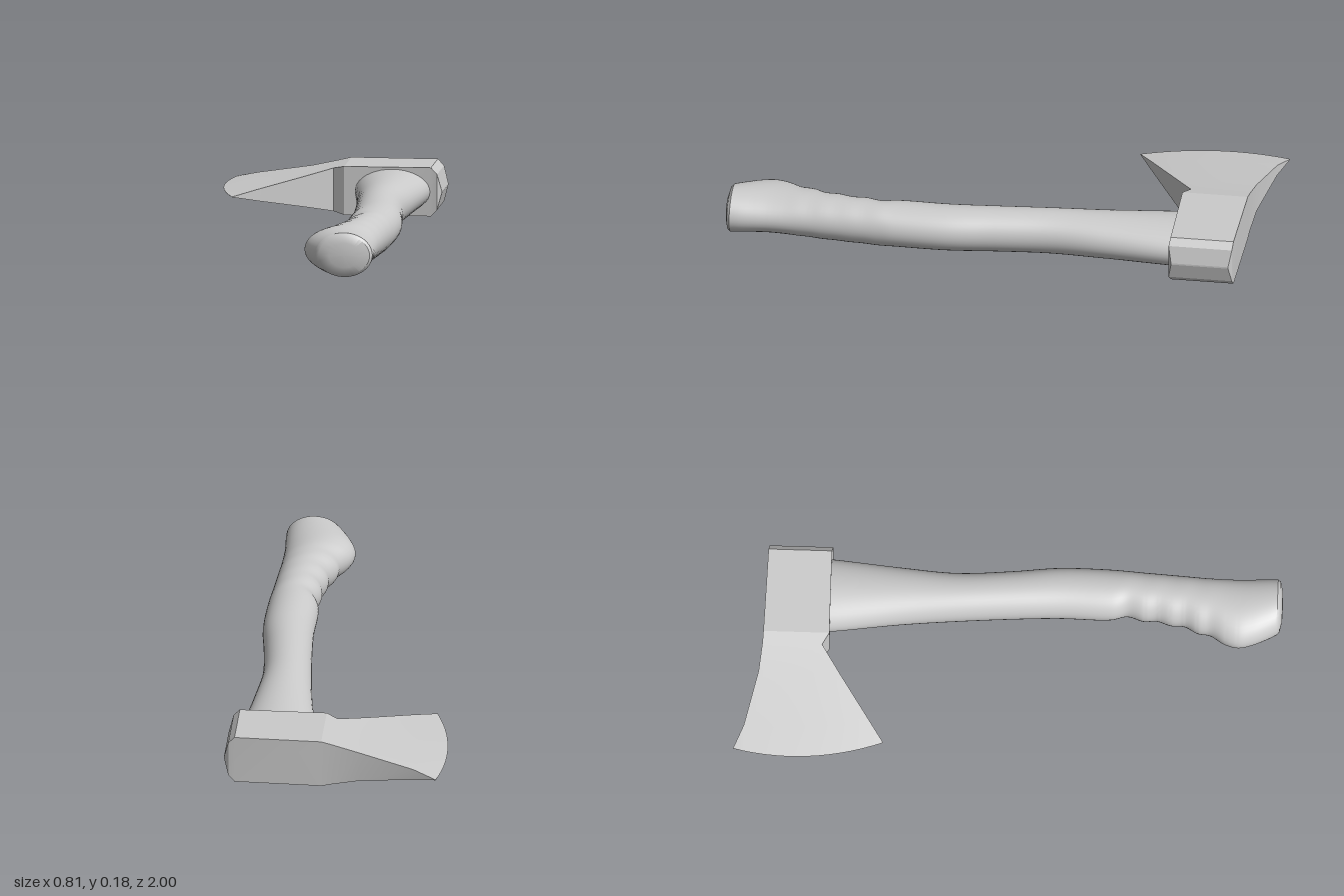
import * as THREE from 'three';
import { toCreasedNormals } from 'three/addons/utils/BufferGeometryUtils.js';

const MID = 0.09; // height of the symmetry plane

// Skin a list of equal-length closed rings and cap both ends.
function loft(rings, crease) {
  const n = rings[0].length;
  const index = [];
  for (let i = 0; i < rings.length - 1; i++) {
    for (let j = 0; j < n; j++) {
      const a = i * n + j, b = i * n + (j + 1) % n;
      index.push(a, b, a + n, b, b + n, a + n);
    }
  }
  const last = (rings.length - 1) * n;
  for (let j = 1; j < n - 1; j++) {
    index.push(0, j + 1, j, last, last + j, last + j + 1);
  }
  const geometry = new THREE.BufferGeometry();
  geometry.setAttribute('position', new THREE.Float32BufferAttribute(rings.flat(2), 3));
  geometry.setIndex(index);
  return toCreasedNormals(geometry, crease);
}

// Axe head: sections from the cutting edge to the poll.
// Each: [back x, back z, front x, front z, bow towards the edge, half thickness]
function headGeometry() {
  const sections = [
    [-0.385, -1.0, -0.345, -0.45, 0.042, 0.0008],
    [-0.3, -0.963, -0.26, -0.508, 0.02, 0.021],
    [-0.1, -0.915, -0.1, -0.617, 0, 0.056],
    [0.003, -0.904, 0.003, -0.685, 0, 0.08],
    [0.045, -0.902, 0.045, -0.66, 0, 0.09],
    [0.365, -0.893, 0.365, -0.66, 0, 0.09],
    [0.388, -0.89, 0.388, -0.656, 0, 0.066],
    [0.405, -0.878, 0.405, -0.667, 0, 0.003],
  ];
  const steps = 14;
  const rings = sections.map(([xb, zb, xf, zf, bow, half]) => {
    const row = (side) => Array.from({ length: steps + 1 }, (_, k) => {
      const t = k / steps;
      return [xb + (xf - xb) * t - bow * 4 * t * (1 - t), MID + side * half, zb + (zf - zb) * t];
    });
    return [...row(1), ...row(-1).reverse()];
  });
  return loft(rings, 0.2);
}

// Handle: oval sections, with finger grooves on the blade side.
function handleGeometry() {
  // [blade-side x, poll-side x, z]
  const profile = [
    [0.08, 0.365, -0.72], [0.087, 0.36, -0.64], [0.12, 0.336, -0.4], [0.14, 0.321, -0.2],
    [0.155, 0.334, 0], [0.164, 0.353, 0.18], [0.164, 0.352, 0.37], [0.179, 0.348, 0.43],
    [0.162, 0.344, 0.49], [0.164, 0.341, 0.54], [0.148, 0.338, 0.59], [0.146, 0.335, 0.64],
    [0.12, 0.332, 0.69], [0.113, 0.33, 0.735], [0.08, 0.329, 0.79], [0.068, 0.329, 0.84],
    [0.08, 0.331, 0.89], [0.105, 0.334, 0.945], [0.125, 0.334, 0.98],
  ].map((p) => new THREE.Vector3(...p));
  const stations = new THREE.CatmullRomCurve3(profile).getPoints(108)
    .map((p) => [p.x, p.y, p.z, 0.082]);
  // Gently domed butt
  stations.push([0.137, 0.325, 0.99, 0.073], [0.175, 0.29, 0.998, 0.045], [0.225, 0.235, 1.0, 0.004]);

  const sides = 40;
  const rings = stations.map(([left, right, z, half]) => Array.from({ length: sides }, (_, k) => {
    const a = (k / sides) * Math.PI * 2;
    return [(left + right) / 2 + Math.cos(a) * (right - left) / 2, MID + Math.sin(a) * half, z];
  }));
  return loft(rings, 0.6);
}

export function createModel() {
  const material = new THREE.MeshStandardMaterial({ color: 0xcccccc });
  const model = new THREE.Group();
  model.name = 'hatchet';

  const head = new THREE.Mesh(headGeometry(), material);
  head.name = 'axeHead';
  const handle = new THREE.Mesh(handleGeometry(), material);
  handle.name = 'handle';

  model.add(head, handle);
  return model;
}
